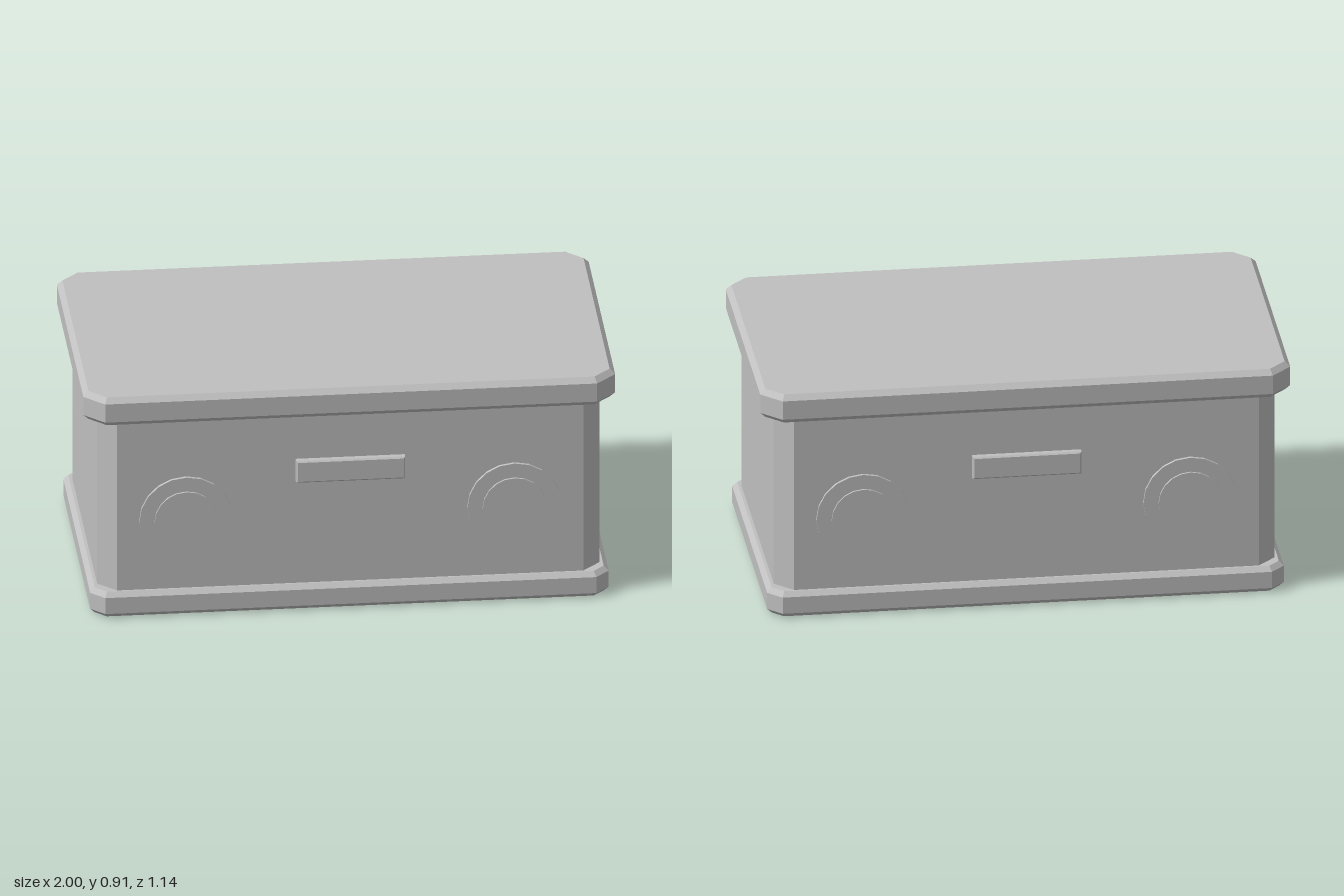
import * as THREE from 'three';

// Bevelled prism along +z from 0 to depth; outline is a rectangle with cut corners.
function slab(hx, hy, cut, depth, bevel) {
  const pts = [];
  if (cut > 0) {
    pts.push([hx, -hy + cut], [hx, hy - cut], [hx - cut, hy], [-hx + cut, hy],
      [-hx, hy - cut], [-hx, -hy + cut], [-hx + cut, -hy], [hx - cut, -hy]);
  } else {
    pts.push([hx, -hy], [hx, hy], [-hx, hy], [-hx, -hy]);
  }
  const shape = new THREE.Shape(pts.map(([x, y]) => new THREE.Vector2(x, y)));
  const geo = new THREE.ExtrudeGeometry(shape, {
    depth: depth - 2 * bevel, bevelEnabled: bevel > 0, bevelSegments: 1,
    bevelSize: bevel, bevelThickness: bevel, bevelOffset: -bevel,
  });
  return geo.translate(0, 0, bevel);
}

export function createModel() {
  const group = new THREE.Group();
  const grey = new THREE.MeshStandardMaterial({ color: 0xc0c0c0, flatShading: true });
  grey.name = 'grey';

  function add(parent, name, geo, x = 0, y = 0, z = 0) {
    const mesh = new THREE.Mesh(geo, grey);
    mesh.name = name;
    mesh.position.set(x, y, z);
    parent.add(mesh);
  }

  // Horizontal layers: base, body, lid
  const layer = (name, hx, hz, cut, y0, y1, bevel) =>
    add(group, name, slab(hx, hz, cut, y1 - y0, bevel).rotateX(-Math.PI / 2), 0, y0, 0);
  layer('base', 0.975, 0.555, 0.052, 0, 0.102, 0.018);
  layer('body', 0.945, 0.53, 0.068, 0.09, 0.81, 0);
  layer('lid', 1, 0.57, 0.075, 0.797, 0.912, 0.02);

  // Same fittings on the front and the back
  const disc = (r, depth) =>
    new THREE.CylinderGeometry(r, r, depth, 20).rotateX(Math.PI / 2).translate(0, 0, depth / 2);
  for (const [side, turn] of [['front', 0], ['back', Math.PI]]) {
    const fittings = new THREE.Group();
    fittings.name = side + 'Fittings';
    fittings.rotation.y = turn;
    add(fittings, 'handle', slab(0.205, 0.045, 0, 0.046, 0.006), 0, 0.57, 0.51);
    for (const s of [-1, 1]) {
      add(fittings, 'outerDisc', disc(0.177, 0.032), s * 0.617, 0.385, 0.51);
      add(fittings, 'innerDisc', disc(0.12, 0.04), s * 0.617, 0.385, 0.51);
    }
    group.add(fittings);
  }
  return group;
}
